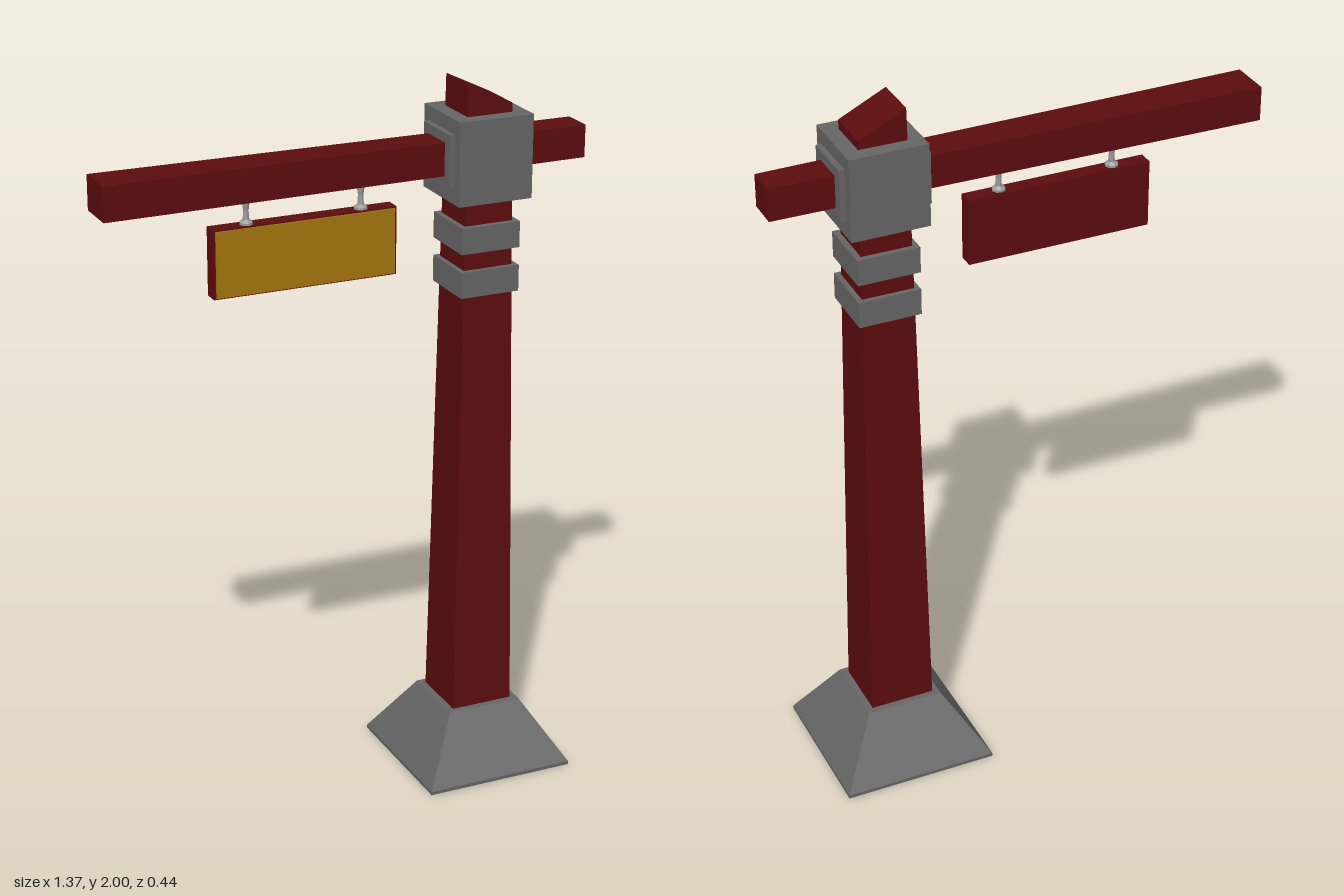
import * as THREE from 'three';

const mat = (color, side = THREE.FrontSide) =>
  new THREE.MeshStandardMaterial({ color, flatShading: true, side });

// Box along y whose half sizes change from bottom to top
function taperedBox(y0, y1, bottom, top) {
  const g = new THREE.BoxGeometry(2, y1 - y0, 2);
  g.translate(0, (y0 + y1) / 2, 0);
  const p = g.attributes.position;
  for (let i = 0; i < p.count; i++) {
    const h = p.getY(i) > (y0 + y1) / 2 ? top : bottom;
    p.setXYZ(i, p.getX(i) * h, p.getY(i), p.getZ(i) * h);
  }
  g.computeVertexNormals();
  return g;
}

export function createModel() {
  const group = new THREE.Group();
  const red = mat(0x5c0c0e), stone = mat(0x666666), gold = mat(0xa4760e), metal = mat(0x999999);
  const postX = 0.388, beamY = 1.8;

  const add = (name, geometry, material, x = 0, y = 0, z = 0) => {
    const mesh = new THREE.Mesh(geometry, material);
    mesh.name = name;
    mesh.position.set(x, y, z);
    group.add(mesh);
    return mesh;
  };

  // Flared foot with a thin lip under it
  add('footLip', new THREE.BoxGeometry(0.436, 0.01, 0.436), stone, postX, 0.005);
  add('foot', taperedBox(0.01, 0.185, 0.218, 0.109), stone, postX);

  // Tapered post, its top cut at a slant
  const postGeo = taperedBox(0.15, 2, 0.091, 0.065);
  const pp = postGeo.attributes.position;
  for (let i = 0; i < pp.count; i++) {
    if (pp.getY(i) > 1 && pp.getX(i) > 0) pp.setY(i, 1.937);
  }
  postGeo.computeVertexNormals();
  add('post', postGeo, red, postX);

  // Two bands round the post
  for (const y of [1.455, 1.578]) {
    add('postBand', new THREE.BoxGeometry(0.172, 0.073, 0.172), stone, postX, y);
  }

  // Joint block with a raised collar on each side
  add('jointBlock', new THREE.BoxGeometry(0.215, 0.23, 0.215), stone, postX, 1.797);
  for (const s of [-1, 1]) {
    add('jointCollar', new THREE.BoxGeometry(0.03, 0.145, 0.156), stone, postX + s * 0.108, beamY);
  }

  // Cross beam, a little thicker at its free end
  const beamGeo = new THREE.BoxGeometry(1.374, 0.09, 0.09);
  const bp = beamGeo.attributes.position;
  for (let i = 0; i < bp.count; i++) {
    if (bp.getX(i) < 0) bp.setXYZ(i, bp.getX(i), bp.getY(i) * 1.06, bp.getZ(i) * 1.32);
  }
  beamGeo.computeVertexNormals();
  add('beam', beamGeo, red, 0, beamY);

  // Hanging board with a coloured front panel
  const signX = -0.12, signY = 1.586;
  add('signBoard', new THREE.BoxGeometry(0.52, 0.188, 0.044), red, signX, signY, -0.002);
  add('signPanel', new THREE.BoxGeometry(0.508, 0.18, 0.006), gold, signX, signY, 0.022);

  // Spool-shaped hangers between beam and board
  const half = [[0.0, 0.04], [0.022, 0.04], [0.022, 0.031], [0.011, 0.024], [0.009, 0]];
  const profile = [
    ...half.map(([r, y]) => [r * 0.85, -y]),
    ...half.slice(0, -1).reverse(),
  ].map(([r, y]) => new THREE.Vector2(r, y));
  for (const x of [-0.28, 0.045]) {
    add('hanger', new THREE.LatheGeometry(profile, 8), metal, x, 1.717);
  }
  return group;
}
